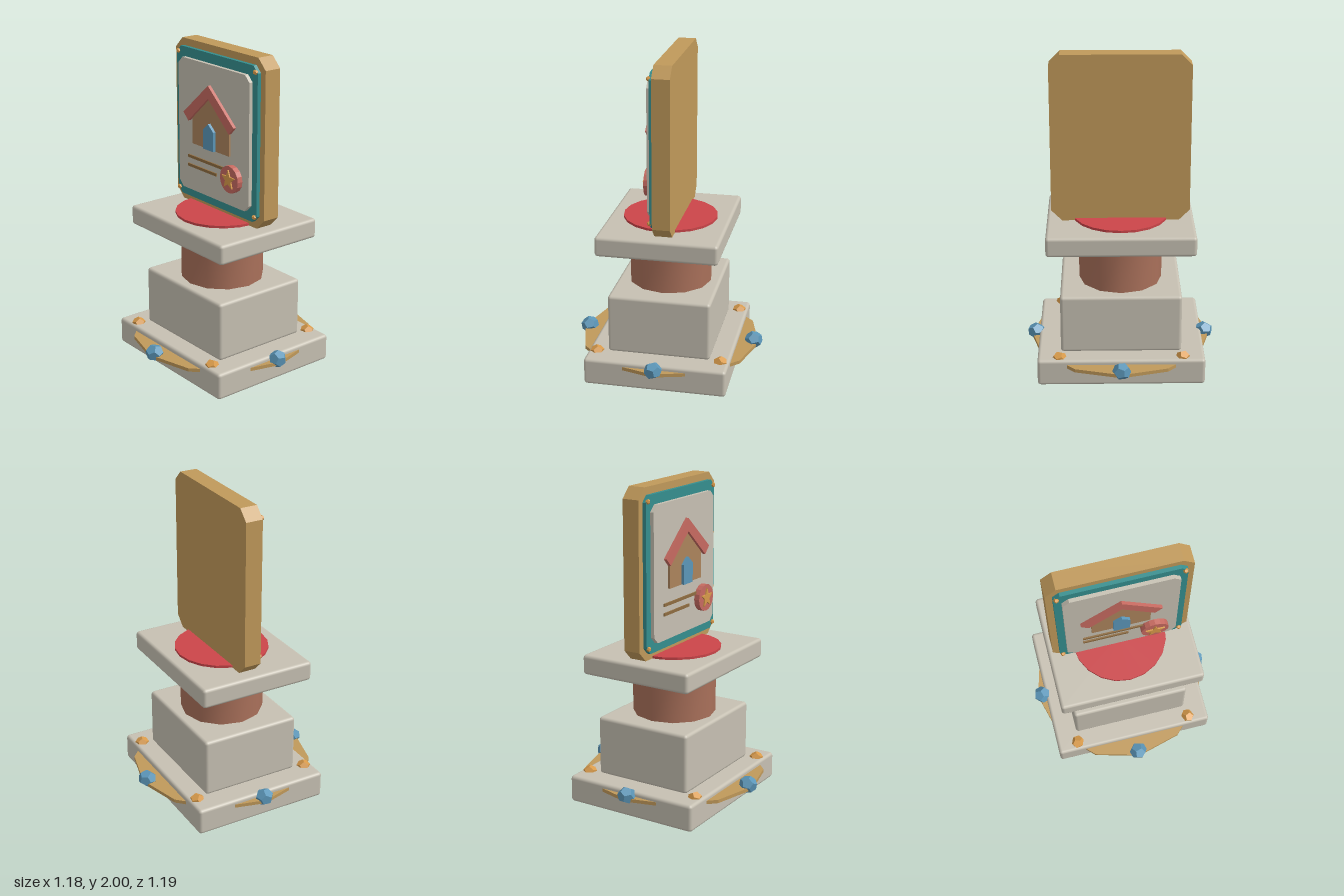
import * as THREE from 'three';
import { RoundedBoxGeometry } from 'three/addons/geometries/RoundedBoxGeometry.js';
import { toCreasedNormals } from 'three/addons/utils/BufferGeometryUtils.js';

const paint = (name, color) => {
  const m = new THREE.MeshStandardMaterial({ color });
  m.name = name;
  return m;
};

export function createModel() {
  const model = new THREE.Group();
  model.name = 'plaqueOnPedestal';

  const stone = paint('stone', 0xc6c0b2);
  const gold = paint('gold', 0xc0995a);
  const teal = paint('teal', 0x358e8e);
  const blue = paint('blue', 0x5b96b8);
  const amber = paint('amber', 0xd89a4a);
  const clay = paint('clay', 0xa9705a);
  const red = paint('red', 0xcb4549);
  const roofRed = paint('roofRed', 0xc66a60);
  const tan = paint('tan', 0xac845c);
  const bronze = paint('bronze', 0x8e6c40);

  function add(name, geometry, material, x = 0, y = 0, z = 0) {
    const mesh = new THREE.Mesh(geometry, material);
    mesh.name = name;
    mesh.position.set(x, y, z);
    model.add(mesh);
    return mesh;
  }

  // Rounded stone slab between two heights
  const slab = (name, w, d, y0, y1) =>
    add(name, new RoundedBoxGeometry(w, y1 - y0, d, 2, 0.02), stone, 0, (y0 + y1) / 2, 0);

  // Flat outline extruded from z0 to z1
  function plate(name, points, z0, z1, material) {
    const shape = new THREE.Shape(points.map(([x, y]) => new THREE.Vector2(x, y)));
    const geometry = new THREE.ExtrudeGeometry(shape, { depth: z1 - z0, bevelEnabled: false });
    return add(name, geometry, material, 0, 0, z0);
  }

  // Rectangle with cut corners
  const cutRect = (w, y0, y1, c) => [
    [-w + c, y0], [w - c, y0], [w, y0 + c], [w, y1 - c],
    [w - c, y1], [-w + c, y1], [-w, y1 - c], [-w, y0 + c],
  ];

  // Pedestal
  slab('base', 1.035, 0.885, 0, 0.17);
  slab('lowerBlock', 0.75, 0.64, 0.165, 0.54);
  add('column', toCreasedNormals(new THREE.CylinderGeometry(0.26, 0.26, 0.31, 12), 0.7), clay, 0, 0.685, 0);
  slab('capital', 0.91, 0.75, 0.83, 0.955);
  add('cushion', toCreasedNormals(new THREE.CylinderGeometry(0.293, 0.293, 0.02, 20), 0.2), red, 0, 0.96, 0);

  // Gold ring plate through the base, with gems on four sides
  add('basePlate', toCreasedNormals(new THREE.CylinderGeometry(0.57, 0.57, 0.022, 12), 0.2), gold, 0, 0.13, 0);
  for (let i = 0; i < 4; i++) {
    const a = (i * Math.PI) / 2;
    const gem = add('gem', new THREE.DodecahedronGeometry(0.058), blue, 0.54 * Math.sin(a), 0.15, 0.54 * Math.cos(a));
    gem.rotation.set(0.2, a + 0.3, 0);
    gem.scale.y = 0.92;
  }

  // Corner studs on the base and on the plaque
  for (const sx of [-1, 1]) {
    for (const s of [-1, 1]) {
      const stud = add('baseStud', new THREE.DodecahedronGeometry(0.047), amber, sx * 0.382, 0.158, s * 0.388);
      stud.rotation.y = 0.4 * sx * s;
      add('plaqueStud', new THREE.DodecahedronGeometry(0.016), amber, sx * 0.367, 1.478 + s * 0.442, 0.053);
    }
  }

  // Layered plaque
  plate('plaqueBoard', cutRect(0.426, 0.955, 2.0, 0.066), -0.083, 0.026, gold);
  plate('plaqueBorder', cutRect(0.385, 1.0, 1.955, 0.04), 0.026, 0.05, teal);
  plate('plaquePanel', cutRect(0.34, 1.06, 1.895, 0.04), 0.05, 0.074, stone);

  // House picture
  const cx = -0.008;
  plate('houseWall', [
    [cx - 0.178, 1.373], [cx + 0.178, 1.373], [cx + 0.178, 1.56], [cx, 1.715], [cx - 0.178, 1.56],
  ], 0.074, 0.088, tan);
  plate('houseRoof', [
    [cx - 0.243, 1.565], [cx - 0.197, 1.518], [cx, 1.695],
    [cx + 0.197, 1.518], [cx + 0.243, 1.565], [cx, 1.775],
  ], 0.085, 0.106, roofRed);
  plate('houseDoor', [
    [cx - 0.05, 1.373], [cx + 0.05, 1.373], [cx + 0.05, 1.495], [cx, 1.538], [cx - 0.05, 1.495],
  ], 0.088, 0.106, blue);

  // Ruled lines
  for (const [y, x1] of [[1.28, 0.15], [1.222, 0.04]]) {
    add('ruledLine', new THREE.BoxGeometry(x1 + 0.24, 0.018, 0.01), bronze, (x1 - 0.24) / 2, y, 0.078);
  }

  // Round seal with a star
  const seal = add('seal', toCreasedNormals(new THREE.CylinderGeometry(0.085, 0.085, 0.036, 16), 0.3), roofRed, 0.197, 1.24, 0.092);
  seal.rotation.x = Math.PI / 2;
  const star = [];
  for (let i = 0; i < 10; i++) {
    const r = i % 2 ? 0.027 : 0.063;
    const a = Math.PI / 2 + (i * Math.PI) / 5;
    star.push([0.197 + r * Math.cos(a), 1.24 + r * Math.sin(a)]);
  }
  plate('sealStar', star, 0.11, 0.119, amber);

  return model;
}
